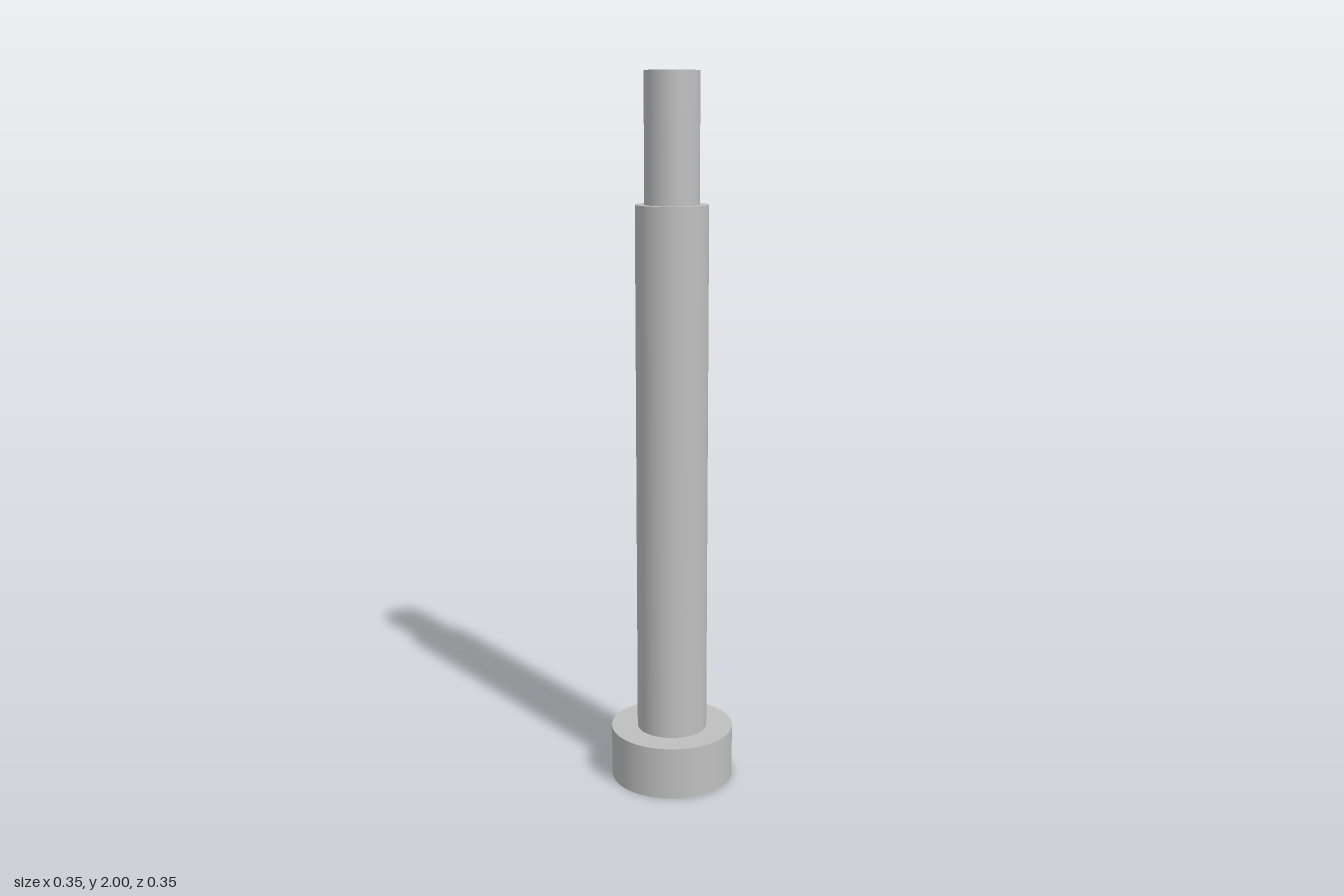
import * as THREE from 'three';

const SEG = 64;
const HEAD_R = 0.175, HEAD_H = 0.15;
const SHOULDER_R = 0.1, SHOULDER_TOP = 1.65;
const TIP_R = 0.075, TIP_TOP = 2;
const HEX_R = 0.0577, HEX_DEPTH = 0.075;

export function createModel() {
  const model = new THREE.Group();
  const steel = new THREE.MeshStandardMaterial({ color: 0xbfbfbf });
  steel.name = 'steel';

  const add = (name, geometry, parent = model) => {
    const mesh = new THREE.Mesh(geometry, steel);
    mesh.name = name;
    parent.add(mesh);
  };
  // Upright cylinder between two heights
  const rod = (r, y0, y1, sides = SEG, open = true) =>
    new THREE.CylinderGeometry(r, r, y1 - y0, sides, 1, open).translate(0, (y0 + y1) / 2, 0);
  // Flat ring facing up
  const ledge = (inner, outer, y) =>
    new THREE.RingGeometry(inner, outer, SEG).rotateX(-Math.PI / 2).translate(0, y, 0);

  // Head: wall, upper ledge and underside pierced by the hex socket
  const head = new THREE.Group();
  head.name = 'head';
  model.add(head);
  add('headWall', rod(HEAD_R, 0, HEAD_H), head);
  add('headLedge', ledge(SHOULDER_R, HEAD_R, HEAD_H), head);

  const face = new THREE.Shape().absarc(0, 0, HEAD_R, 0, Math.PI * 2);
  const corners = [];
  for (let i = 0; i < 6; i++) {
    const a = Math.PI / 2 + (i * Math.PI) / 3;
    corners.push(new THREE.Vector2(HEX_R * Math.cos(a), HEX_R * Math.sin(a)));
  }
  face.holes.push(new THREE.Path(corners));
  add('headFace', new THREE.ShapeGeometry(face, SEG).rotateX(Math.PI / 2), head);

  // Hex socket: walls mirrored so they face inward, plus a floor facing down
  const walls = rod(HEX_R, 0, HEX_DEPTH, 6).toNonIndexed();
  const pos = walls.attributes.position;
  for (let i = 0; i < pos.count; i++) pos.setX(i, -pos.getX(i));
  walls.computeVertexNormals();
  add('socketWalls', walls, head);
  add('socketFloor', new THREE.CircleGeometry(HEX_R, 6, Math.PI / 2)
    .rotateX(Math.PI / 2).translate(0, HEX_DEPTH, 0), head);

  // Long shoulder with its upper ledge
  add('shoulder', rod(SHOULDER_R, HEAD_H, SHOULDER_TOP));
  add('shoulderLedge', ledge(TIP_R, SHOULDER_R, SHOULDER_TOP));

  // Narrow end
  add('tip', rod(TIP_R, SHOULDER_TOP, TIP_TOP, SEG, false));

  return model;
}
